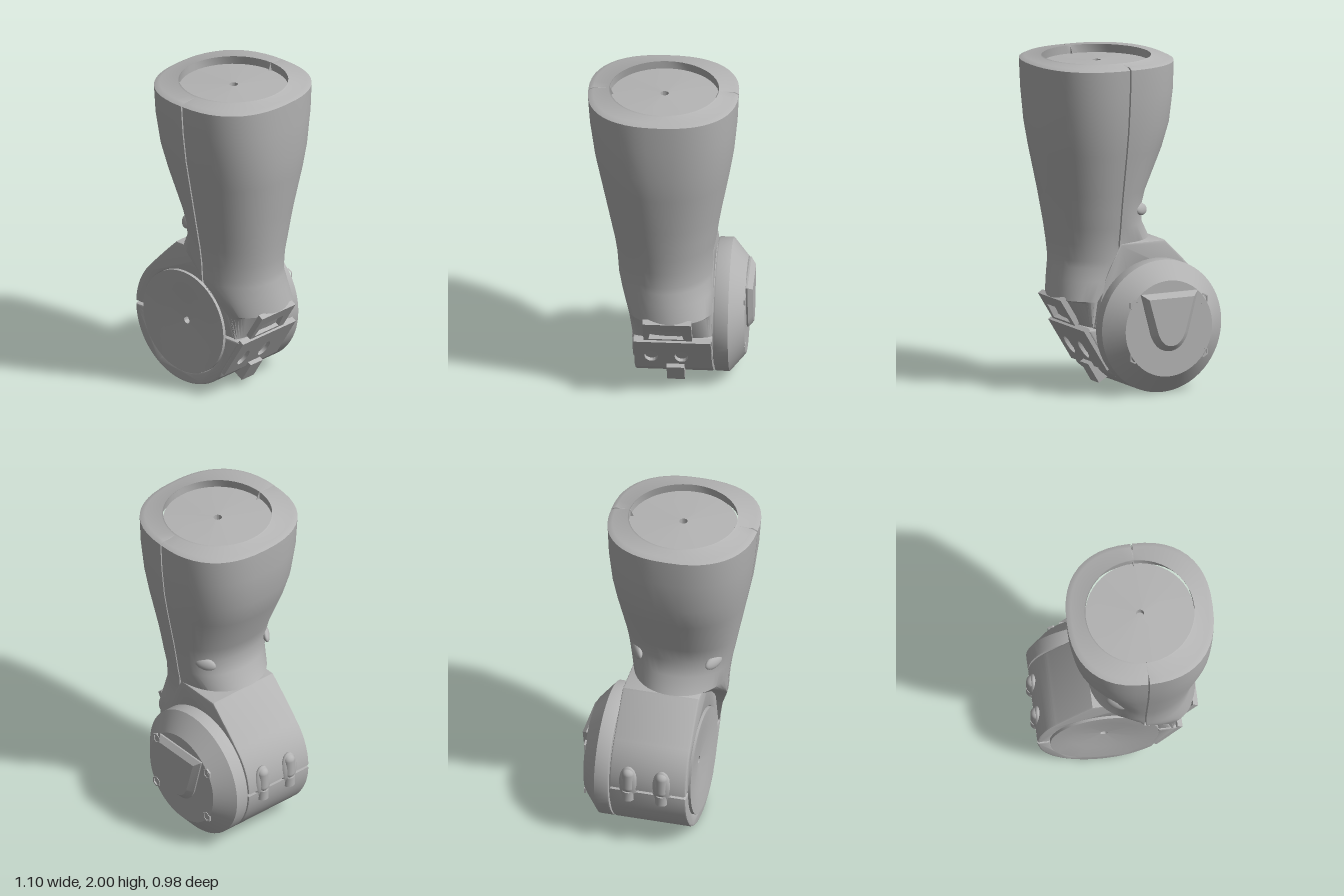
import * as THREE from 'three';
import { toCreasedNormals } from 'three/addons/utils/BufferGeometryUtils.js';

const CX = -0.125, CY = 0.4; // drum axis

export function createModel() {
  const group = new THREE.Group();
  const grey = new THREE.MeshStandardMaterial({ color: 0xb4b4b4 });
  grey.name = 'matte grey';

  const add = (name, geometry, crease = 0.5) => {
    const mesh = new THREE.Mesh(crease ? toCreasedNormals(geometry, crease) : geometry, grey);
    mesh.name = name;
    group.add(mesh);
    return mesh;
  };
  const lathe = (pts, segments = 48) =>
    new THREE.LatheGeometry(pts.map(p => new THREE.Vector2(...p)), segments);
  const shapeOf = pts => new THREE.Shape(pts.map(p => new THREE.Vector2(...p)));

  // Limb shell: rounded sections [y, left, right, back, front], from the socket wall downwards
  const rings = [
    [1.93, -0.215, 0.435, -0.295, 0.355],
    [2.0, -0.215, 0.435, -0.295, 0.355],
    [1.995, -0.222, 0.442, -0.302, 0.362],
    [1.99, -0.3, 0.515, -0.385, 0.455],
    [1.975, -0.33, 0.545, -0.413, 0.485],
    [1.8, -0.325, 0.54, -0.405, 0.472],
    [1.6, -0.305, 0.53, -0.385, 0.445],
    [1.45, -0.26, 0.51, -0.36, 0.415],
    [1.2, -0.152, 0.465, -0.312, 0.365],
    [1.1, -0.128, 0.45, -0.295, 0.345],
    [1.0, -0.142, 0.435, -0.28, 0.325],
    [0.9, -0.2, 0.422, -0.262, 0.31],
    [0.8, 0, 0.413, -0.262, 0.303],
    [0.76, 0.08, 0.417, -0.262, 0.3],
    [0.68, 0.17, 0.428, -0.262, 0.275],
    [0.565, 0.25, 0.443, -0.262, 0.235],
    [0.555, 0.253, 0.405, -0.262, 0.232],
    [0.41, 0.275, 0.322, -0.262, 0.208],
    [0.41, 0.275, 0.283, -0.02, -0.02],
  ];
  const HALF = 24, pos = [], index = [];
  for (const [y, l, r, b, f] of rings) {
    const zc = (b + f) / 2, rz = (f - b) / 2;
    const seam = Math.max(0.11, l + 0.008);
    const groove = y < 1.992 && y > 0.75 ? 0.03 : 0;
    const n = y > 1.992 ? 2 : THREE.MathUtils.mapLinear(Math.min(Math.max(y, 0.6), 1.8), 0.6, 1.8, 1.9, 2.4);
    for (const [side, reach] of [[1, r - seam], [-1, seam - l]]) {
      pos.push(seam, y, zc - side * Math.max(rz - groove, 0));
      for (let i = 0; i <= HALF; i++) {
        const a = Math.PI * (i / HALF - 0.5);
        const c = Math.max(Math.cos(a), 0) ** (2 / n);
        const s = Math.sign(Math.sin(a)) * Math.abs(Math.sin(a)) ** (2 / n);
        pos.push(seam + side * Math.max(reach * c, Math.min(0.005, reach)), y, zc + side * rz * s);
      }
    }
  }
  const N = 2 * (HALF + 2);
  for (let i = 0; i < rings.length - 1; i++) {
    for (let j = 0; j < N; j++) {
      const a = i * N + j, b = i * N + (j + 1) % N;
      index.push(a, b, a + N, b, b + N, a + N);
    }
  }
  const shell = new THREE.BufferGeometry();
  shell.setAttribute('position', new THREE.Float32BufferAttribute(pos, 3));
  shell.setIndex(index);
  add('limbShell', shell, 0.6);

  // Round socket faces at the top and on the front of the drum
  add('topSocket', lathe([[0.326, 0], [0.025, 0.018], [0.025, -0.03], [0, -0.03]]))
    .position.set(0.11, 1.95, 0.03);
  add('frontSocket', lathe([[0.325, 0.17], [0.325, 0.217], [0.318, 0.217], [0.2, 0.2],
    [0.022, 0.186], [0.022, 0.15], [0, 0.15]]).rotateX(Math.PI / 2)).position.set(CX, CY, 0);

  // Drum housing in two hollow halves around a core, parted by a thin gap
  const halfDrum = (name, shape) => {
    const g = new THREE.ExtrudeGeometry(shape, {
      depth: 0.446, bevelThickness: 0.012, bevelSize: 0.012, bevelOffset: -0.012,
      bevelSegments: 2, curveSegments: 40,
    });
    add(name, g.translate(0, 0, -0.253));
  };
  const upper = new THREE.Shape();
  upper.moveTo(CX - 0.4, CY + 0.006);
  upper.absarc(CX, CY, 0.4, Math.PI - 0.02, Math.PI * 0.75, true);
  upper.quadraticCurveTo(-0.29, 0.81, -0.195, 0.9);
  upper.lineTo(0.1, 0.9);
  upper.lineTo(0.2, 0.7);
  upper.lineTo(0.275, CY + 0.006);
  upper.absarc(CX, CY, 0.325, 0.02, Math.PI - 0.02, false);
  upper.closePath();
  halfDrum('upperHousing', upper);
  const lower = new THREE.Shape();
  lower.moveTo(CX - 0.4, CY - 0.006);
  lower.absarc(CX, CY, 0.4, Math.PI + 0.02, Math.PI * 1.75, false);
  lower.lineTo(0.175, 0.155);
  lower.lineTo(0.315, 0.388);
  lower.lineTo(0.3, CY - 0.006);
  lower.absarc(CX, CY, 0.325, -0.02, Math.PI + 0.02, true);
  lower.closePath();
  halfDrum('lowerHousing', lower);
  add('drumCore', new THREE.CylinderGeometry(0.38, 0.38, 0.4, 48).rotateX(Math.PI / 2))
    .position.set(CX, CY, -0.06);

  // Sloping side plates with openings, laid between two points of the side outline
  const plate = (name, top, bottom, x0, x1, holes) => {
    const up = new THREE.Vector3(top[0] - bottom[0], top[1] - bottom[1], 0);
    const len = up.length();
    up.normalize();
    const out = new THREE.Vector3(up.y, -up.x, 0);
    const shape = shapeOf([[x0, 0], [x1, 0], [x1, len], [x0, len]]);
    shape.holes.push(...holes);
    const g = new THREE.ExtrudeGeometry(shape, { depth: 0.035, bevelEnabled: false, curveSegments: 20 });
    g.applyMatrix4(new THREE.Matrix4().makeBasis(new THREE.Vector3(0, 0, -1), up, out));
    g.translate(bottom[0] - out.x * 0.035, bottom[1] - out.y * 0.035, 0);
    add(name, g);
  };
  const vents = [-0.1, 0.08].map(x => {
    const hole = new THREE.Path();
    hole.absellipse(x, 0.123, 0.04, 0.062, 0, Math.PI * 2, true);
    return hole;
  });
  plate('ventPlate', [0.345, 0.39], [0.19, 0.14], -0.2, 0.26, vents);
  plate('latchPlate', [0.445, 0.567], [0.345, 0.405], -0.14, 0.15,
    [shapeOf([[-0.11, 0.015], [0.1, 0.015], [0.085, 0.115], [-0.095, 0.115]])]);

  // Latch tab under the vents
  const tab = add('latchTab', new THREE.BoxGeometry(0.075, 0.14, 0.105));
  tab.position.set(0.162, 0.115, -0.042);
  tab.rotation.z = -0.55;

  // Back cover with a raised tongue and four bolt sockets
  add('backCover', lathe([[0, 0.255], [0.37, 0.255], [0.37, 0.272], [0.396, 0.272], [0.4, 0.28],
    [0.4, 0.357], [0.29, 0.45], [0, 0.45]], 64).rotateX(-Math.PI / 2)).position.set(CX, CY, 0);
  const tongue = new THREE.Shape();
  tongue.moveTo(-0.15, 0.19);
  tongue.lineTo(-0.09, -0.02);
  tongue.quadraticCurveTo(-0.06, -0.1, 0, -0.1);
  tongue.quadraticCurveTo(0.06, -0.1, 0.09, -0.02);
  tongue.lineTo(0.15, 0.19);
  tongue.closePath();
  add('coverTongue', new THREE.ExtrudeGeometry(tongue, {
    depth: 0.01, bevelThickness: 0.03, bevelSize: 0.035, bevelSegments: 1,
  })).position.set(CX, CY, -0.46);
  for (const sx of [-1, 1]) for (const sy of [-1, 1]) {
    add('boltSocket', lathe([[0.034, 0], [0.034, 0.012], [0.025, 0.012], [0.025, 0.002], [0, 0.002]], 6)
      .rotateX(-Math.PI / 2)).position.set(CX + sx * 0.23, CY + sy * 0.16, -0.442);
  }

  // Pair of split hinge lugs on the rounded side
  for (const z of [-0.15, 0.055]) {
    add('hingeLugUpper', new THREE.CapsuleGeometry(0.038, 0.09, 6, 16), 0).position.set(-0.512, 0.467, z);
    add('hingeLugLower', new THREE.CylinderGeometry(0.038, 0.038, 0.062, 16)).position.set(-0.512, 0.364, z);
    add('hingeLugFoot', new THREE.SphereGeometry(0.06, 16, 10).scale(0.55, 2, 1), 0)
      .position.set(-0.508, 0.44, z);
  }

  // Oval port on both faces of the neck
  for (const s of [1, -1]) {
    const port = add('neckPort', new THREE.SphereGeometry(1, 24, 12).scale(0.066, 0.038, 0.022), 0);
    port.position.set(-0.06, 1.09, 0.025 + s * 0.235);
    port.rotation.set(-s * 0.3, -s * 0.6, 0);
  }
  return group;
}
